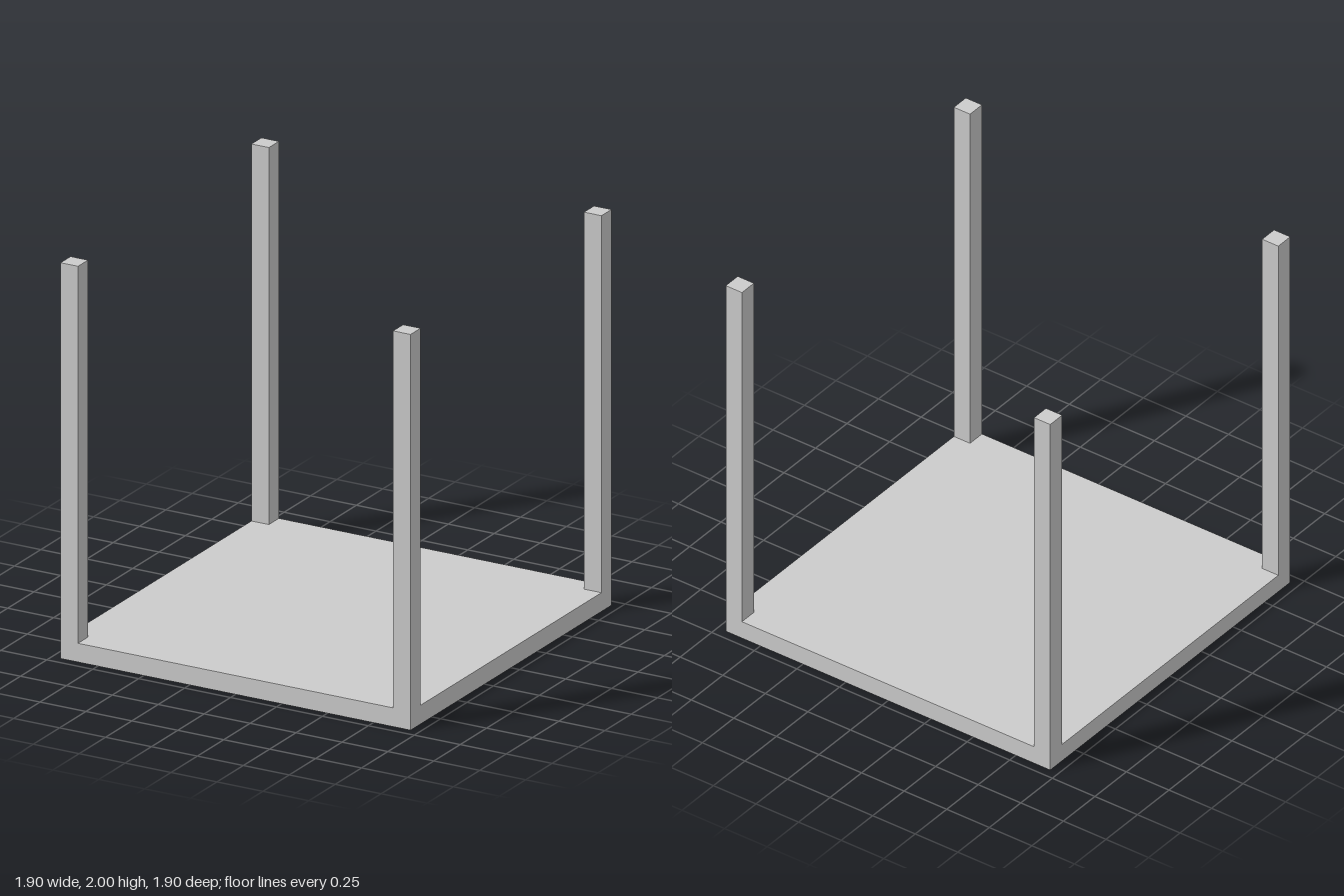
import * as THREE from 'three';

const WIDTH = 1.905;   // outer width and depth
const THICK = 0.095;   // slab thickness and post section
const HEIGHT = 2;

export function createModel() {
  const model = new THREE.Group();
  model.name = 'upturnedTable';
  const material = new THREE.MeshStandardMaterial({ color: 0xcccccc, flatShading: true });

  // Square slab lying on the ground
  const slab = new THREE.Mesh(new THREE.BoxGeometry(WIDTH, THICK, WIDTH), material);
  slab.name = 'slab';
  slab.position.y = THICK / 2;
  model.add(slab);

  // Four square posts, flush with the slab's corners
  const postHeight = HEIGHT - THICK;
  const postGeometry = new THREE.BoxGeometry(THICK, postHeight, THICK);
  const offset = (WIDTH - THICK) / 2;
  for (const [zSide, zName] of [[1, 'front'], [-1, 'back']]) {
    for (const [xSide, xName] of [[1, 'Left'], [-1, 'Right']]) {
      const post = new THREE.Mesh(postGeometry, material);
      post.name = `${zName}${xName}Post`;
      post.position.set(xSide * offset, THICK + postHeight / 2, zSide * offset);
      model.add(post);
    }
  }

  return model;
}
